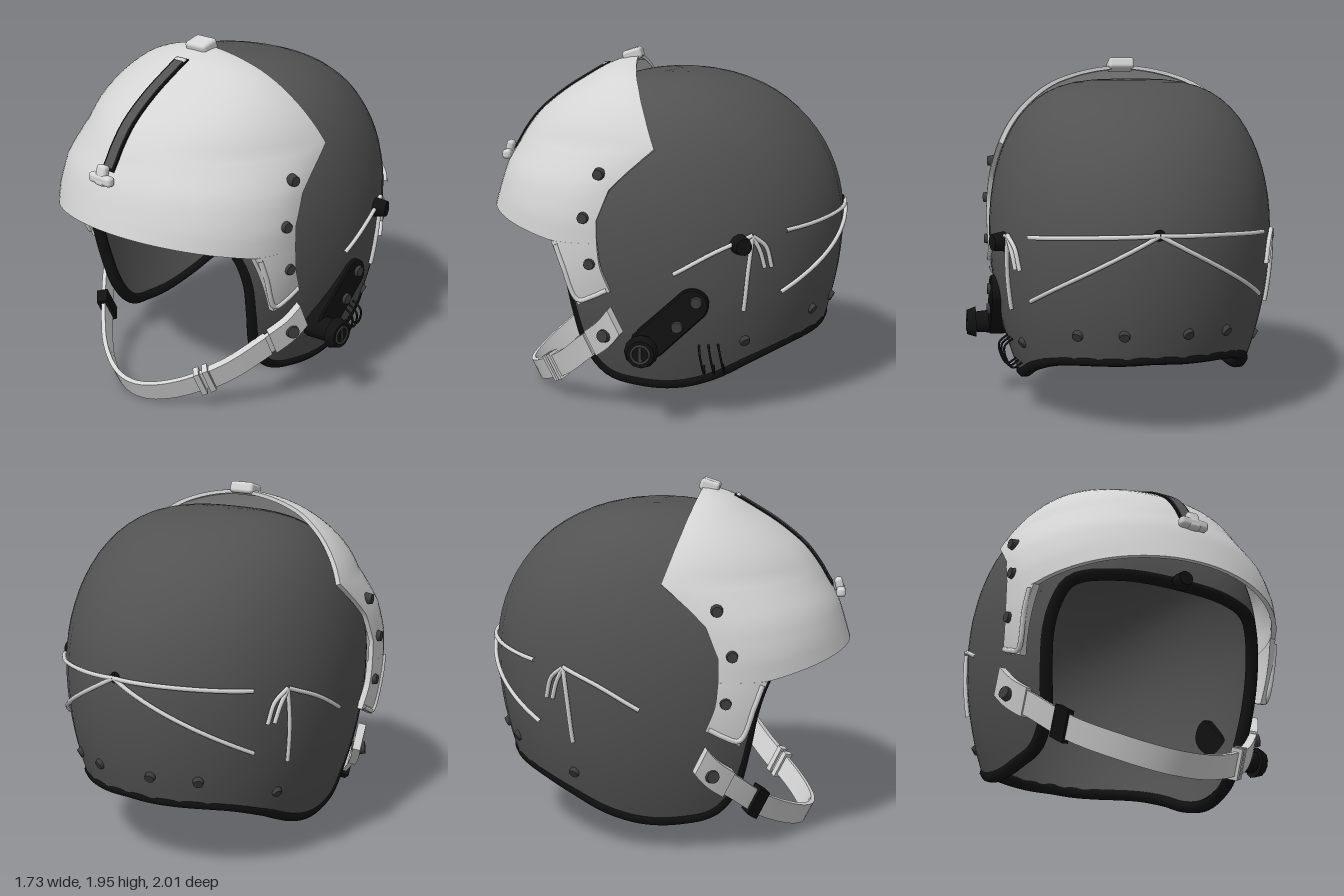
import * as THREE from 'three';
import { toCreasedNormals } from 'three/addons/utils/BufferGeometryUtils.js';
import { RoundedBoxGeometry } from 'three/addons/geometries/RoundedBoxGeometry.js';

const V = (x, y, z) => new THREE.Vector3(x, y, z);
const mat = (name, color) => new THREE.MeshStandardMaterial({ name, color });
const lerp = THREE.MathUtils.lerp;

// Closed thick sheet from an outer and an inner surface over u, v in 0..1
function sheet(outer, inner, nu, nv, crease = 0.7) {
  const pos = [], idx = [], n = (nu + 1) * (nv + 1);
  for (const f of [outer, inner])
    for (let j = 0; j <= nv; j++)
      for (let i = 0; i <= nu; i++) pos.push(...f(i / nu, j / nv).toArray());
  const id = (i, j) => j * (nu + 1) + i;
  for (let j = 0; j < nv; j++)
    for (let i = 0; i < nu; i++) {
      const a = id(i, j), b = id(i + 1, j), c = id(i + 1, j + 1), d = id(i, j + 1);
      idx.push(a, d, b, b, d, c, a + n, b + n, d + n, b + n, c + n, d + n);
    }
  const rim = [];
  for (let i = 0; i < nu; i++) rim.push(id(i, 0));
  for (let j = 0; j < nv; j++) rim.push(id(nu, j));
  for (let i = nu; i > 0; i--) rim.push(id(i, nv));
  for (let j = nv; j > 0; j--) rim.push(id(0, j));
  rim.forEach((a, k) => {
    const b = rim[(k + 1) % rim.length];
    idx.push(a, b, b + n, a, b + n, a + n);
  });
  const g = new THREE.BufferGeometry();
  g.setAttribute('position', new THREE.Float32BufferAttribute(pos, 3));
  g.setIndex(idx);
  return toCreasedNormals(g, crease);
}

// Shell surface at azimuth a (0 = front, 90 degrees = left) and height y
const ZC = -0.08, H = 0.845;
function scales(y) {
  if (y < 1) { const s = 1 - 0.3 * (1 - y) ** 2; return [s, s]; }
  const s = Math.sqrt(Math.max(0, 1 - ((y - 1) / H) ** 2));
  return [s ** 0.6, s ** 0.87];
}
function shellPoint(a, y, off = 0) {
  const [sw, sz] = scales(y), c = Math.cos(a), s = Math.sin(a);
  const x = 0.79 * sw * Math.sign(s) * Math.abs(s) ** (c > 0 ? 0.65 : 1);
  const p = V(x, y, ZC + (c > 0 ? 0.86 : 0.92) * sz * c);
  return off ? p.addScaledVector(shellNormal(p), off) : p;
}
const shellNormal = (p) => V(p.x / 0.62, (p.y - 1) / 0.8, (p.z - ZC) / 0.8).normalize();
function azimuth(z, y) {
  const d = z - ZC, c = d / ((d > 0 ? 0.86 : 0.92) * scales(y)[1]);
  return Math.acos(THREE.MathUtils.clamp(c, -1, 1));
}

// Lower edge of the shell from brow to nape, as z, y
const EDGE = [[0.9, 1.09], [0.74, 1.08], [0.61, 1.05], [0.55, 0.95], [0.5, 0.8], [0.46, 0.6], [0.4, 0.38],
  [0.3, 0.25], [0.1, 0.2], [-0.1, 0.2], [-0.3, 0.25], [-0.5, 0.34], [-0.7, 0.41], [-1.1, 0.45]];
const edgeCurve = new THREE.CatmullRomCurve3(EDGE.map(([z, y]) => V(azimuth(z, y), y, 0)));
function edgeAt(u) {
  const k = u * 2 - 1, e = edgeCurve.getPoint(Math.abs(k));
  return [Math.sign(k) * THREE.MathUtils.clamp(e.x, 0, Math.PI), e.y];
}
function shellOuter(u, v) {
  const [a, yE] = edgeAt(u);
  const end = yE > 1 ? Math.acos((yE - 1) / H) : Math.PI / 2 + (1 - yE) / H;
  const f = v * end;
  return shellPoint(a, f < Math.PI / 2 ? 1 + H * Math.cos(f) : 1 - H * (f - Math.PI / 2));
}
const shrink = (p, k) => V(p.x * k, p.y > 1 ? 1 + (p.y - 1) * k : p.y, ZC + (p.z - ZC) * k);

// Visor cover rows from top to brow: y, half width, front z, back z
const ROWS = [[1.915, 0.04, 0.2, 0.17], [1.9, 0.16, 0.26, 0.165], [1.87, 0.29, 0.34, 0.155],
  [1.82, 0.42, 0.43, 0.137], [1.72, 0.56, 0.59, 0.1], [1.6, 0.665, 0.735, 0.056], [1.49, 0.725, 0.82, 0.015],
  [1.43, 0.745, 0.855, 0.1], [1.32, 0.77, 0.92, 0.245], [1.19, 0.785, 0.965, 0.31], [1.09, 0.785, 0.995, 0.31]];
const rowCurve = new THREE.CatmullRomCurve3(ROWS.map((r) => V(r[1], r[0], r[2])));
function visorPoint(u, v, k = 1) {
  const t = v * (ROWS.length - 1), i = Math.min(Math.floor(t), ROWS.length - 2);
  const zb = lerp(ROWS[i][3], ROWS[i + 1][3], t - i);
  const r = rowCurve.getPoint(v), a = (u - 0.5) * Math.PI, c = Math.cos(a);
  const drop = 0.09 * Math.min(1, (1 - c) / 0.64) * Math.max(0, (1.49 - r.y) / 0.4);
  return V(r.x * Math.sin(a) * k, r.y - drop - (1 - k) * 0.7 * (r.y - 1.09), zb + (r.z - zb) * c * k);
}
// Side tabs of the visor cover
const tabBack = new THREE.CatmullRomCurve3([V(0, 1, 0.31), V(0, 0.87, 0.295), V(0, 0.735, 0.245)]);
const tabFront = new THREE.CatmullRomCurve3([V(0, 1, 0.56), V(0, 0.87, 0.505), V(0, 0.655, 0.42)]);
function tabPoint(side, u, v, inset) {
  const p = tabFront.getPoint(v).lerp(tabBack.getPoint(v), side > 0 ? u : 1 - u);
  const w = 0.785 * Math.sqrt(1 - (Math.max(0, p.z - 0.31) / 0.69) ** 2);
  p.x = side * (w * (1 - 0.4 * (1 - p.y) ** 2) - inset);
  return p;
}

export function createModel() {
  const root = new THREE.Group(), helmet = new THREE.Group();
  helmet.name = 'helmet';
  helmet.position.x = -0.06;
  root.add(helmet);
  const dark = mat('shell grey', 0x525252), light = mat('light grey', 0xd4d4d4);
  const black = mat('black', 0x111111), metal = mat('dark metal', 0x3c3c3c);
  const add = (name, geo, m, p) => {
    const mesh = new THREE.Mesh(geo, m);
    mesh.name = name;
    if (p) mesh.position.copy(p);
    helmet.add(mesh);
    return mesh;
  };
  const stud = (name, m, p, n, r, h) => {
    const s = add(name, new THREE.CylinderGeometry(r * 0.8, r, h, 12), m, p);
    s.quaternion.setFromUnitVectors(V(0, 1, 0), n);
    return s;
  };
  const tube = (name, pts, r, m, closed = false) => add(name, new THREE.TubeGeometry(
    new THREE.CatmullRomCurve3(pts, closed), pts.length * 5, r, 7, closed), m);

  // Shell and edge trim
  add('shell', sheet(shellOuter, (u, v) => shrink(shellOuter(u, v), 0.93), 96, 24), dark);
  const rim = [];
  for (let i = 0; i < 96; i++) rim.push(shrink(shellOuter(i / 96, 1), 0.965));
  add('edgeTrim', new THREE.TubeGeometry(new THREE.CatmullRomCurve3(rim, true), 144, 0.035, 8, true), black);

  // Visor cover with side tabs and bolts
  add('visorCover', sheet((u, v) => visorPoint(u, v), (u, v) => visorPoint(u, v, 0.965), 40, 30), light);
  for (const s of [1, -1]) {
    add('visorTab', sheet((u, v) => tabPoint(s, u, v, 0), (u, v) => tabPoint(s, u, v, 0.035), 8, 10), light);
    tube('tabLip', [[0.08, 0.06], [0.05, 0.5], [0.06, 0.94], [0.5, 0.96], [0.94, 0.94]].map(([u, v]) =>
      tabPoint(s, s > 0 ? u : 1 - u, v, 0)), 0.014, light);
    for (const [x, y, z] of [[0.755, 1.36, 0.3], [0.78, 1.135, 0.38], [0.778, 0.89, 0.35]])
      stud('visorBolt', metal, V(s * x, y, z), V(s, 0, 0.15).normalize(), 0.034, 0.04);
  }

  // Centre track with its end fittings
  const track = (name, w, off, v0, v1, m) => {
    const at = (d) => (u, v) => visorPoint(0.5, lerp(v0, v1, v)).add(V((u - 0.5) * w, d * 0.6, d * 0.8));
    add(name, sheet(at(off), at(-0.01), 1, 24), m);
  };
  track('trackFrame', 0.088, 0.008, 0.2, 0.75, black);
  track('track', 0.064, 0.013, 0.21, 0.74, dark);
  add('topLug', new RoundedBoxGeometry(0.15, 0.065, 0.11, 3, 0.02), light, V(0, 1.918, 0.205)).rotation.x = 0.3;
  add('trackClip', new RoundedBoxGeometry(0.08, 0.025, 0.03, 2, 0.01), light, V(0, 1.863, 0.36));
  add('sliderBar', new RoundedBoxGeometry(0.165, 0.055, 0.05, 3, 0.02), light, V(0, 1.345, 0.935));
  add('sliderStem', new RoundedBoxGeometry(0.07, 0.11, 0.045, 3, 0.018), light, V(0, 1.365, 0.93)).rotation.x = -0.25;
  stud('browButton', black, V(0, 1.07, 0.82), V(0, 0, 1), 0.05, 0.06);

  // Chin strap: a flat band swept from side to side
  const half = [[0.765, 0.58, 0.22], [0.725, 0.5, 0.28], [0.64, 0.4, 0.39], [0.5, 0.26, 0.53],
    [0.3, 0.14, 0.69], [0.12, 0.08, 0.77]];
  const strap = new THREE.CatmullRomCurve3([...half.map((p) => V(...p)), V(0, 0.068, 0.787),
    ...half.map(([x, y, z]) => V(-x, y, z)).reverse()]);
  const across = V(0, 0.9, 0.43);
  const band = (name, t0, t1, w, th, m) => {
    const face = (d) => (u, v) => {
      const t = lerp(t0, t1, u), n = across.clone().cross(strap.getTangentAt(t)).normalize();
      return strap.getPointAt(t).addScaledVector(across, (v - 0.5) * w).addScaledVector(n, d);
    };
    add(name, sheet(face(th / 2), face(-th / 2), Math.ceil((t1 - t0) * 50) + 1, 2), m);
  };
  band('chinStrap', 0, 1, 0.125, 0.025, light);
  band('strapFold', 0.11, 0.27, 0.135, 0.042, light);
  for (const t of [0.272, 0.295]) band('strapKeeper', t, t + 0.014, 0.165, 0.06, light);
  band('strapBuckle', 0.775, 0.81, 0.165, 0.065, black);
  for (const s of [1, -1]) {
    band('strapEnd', s > 0 ? 0 : 0.9, s > 0 ? 0.1 : 1, 0.15, 0.045, light);
    stud('strapBolt', metal, V(s * 0.735, 0.49, 0.275), V(s * 0.85, 0.1, 0.4).normalize(), 0.042, 0.075);
  }

  // Cords on the sides and round the back, with their knobs
  const cord = (name, s, pts) => {
    const path = new THREE.CatmullRomCurve3(pts.map(([a, y]) => V(a, y, 0)));
    tube(name, path.getPoints(8).map((p) => shellPoint(s * p.x, p.y, 0.012)), 0.012, light);
  };
  const at = (z, y) => [azimuth(z, y), y];
  for (const s of [1, -1]) {
    cord('sideCord', s, [at(-0.09, 0.85), at(-0.3, 0.965), at(-0.49, 1.045)]);
    cord('sideCord', s, [at(-0.45, 0.64), at(-0.47, 0.85), at(-0.49, 1.045)]);
    cord('sideCord', s, [at(-0.59, 0.87), at(-0.56, 0.98), at(-0.49, 1.045)]);
    cord('sideCord', s, [at(-0.555, 0.87), at(-0.53, 0.96), at(-0.49, 1.04)]);
    cord('backCord', s, [[Math.PI, 1.1], [2.7, 1.085], at(-0.66, 1.055)]);
    cord('backCord', s, [[Math.PI, 1.1], [2.72, 0.92], at(-0.64, 0.72)]);
    for (const [z, y] of [[-0.46, 0.45], [-0.82, 0.565], [-0.93, 0.58]]) {
      const p = shellPoint(s * azimuth(z, y), y);
      stud('rivet', metal, p, shellNormal(p), 0.032, 0.03);
    }
  }
  stud('backKnob', black, V(0, 1.1, -0.985), V(0, 0, -1), 0.035, 0.03);
  const knobAt = shellPoint(azimuth(-0.43, 1), 1, 0.03);
  stud('sideKnob', black, knobAt, shellNormal(knobAt), 0.055, 0.08);

  // Microphone arm on the left: capsule plate, bolts and dial
  const plate = new THREE.Shape();
  plate.absarc(0, 0, 0.08, Math.PI / 2, Math.PI * 1.5);
  plate.absarc(0.3, 0, 0.08, -Math.PI / 2, Math.PI / 2);
  const arm = add('armPlate', new THREE.ExtrudeGeometry(plate,
    { depth: 0.1, bevelSize: 0.008, bevelThickness: 0.008, bevelSegments: 1 }), black, V(0.69, 0.475, 0.03));
  arm.rotation.set(0, Math.PI / 2, Math.atan2(0.21, 0.22), 'YXZ');
  for (const [z, y] of [[-0.21, 0.7], [-0.11, 0.565]]) stud('armBolt', metal, V(0.8, y, z), V(1, 0, 0), 0.036, 0.03);
  stud('dialBase', black, V(0.79, 0.45, 0.07), V(1, 0, 0), 0.075, 0.16);
  stud('dial', black, V(0.895, 0.45, 0.07), V(1, 0, 0), 0.09, 0.05);
  add('dialRing', new THREE.TorusGeometry(0.047, 0.007, 6, 24), metal, V(0.919, 0.45, 0.07)).rotation.y = Math.PI / 2;
  add('dialSlot', new THREE.BoxGeometry(0.008, 0.08, 0.014), metal, V(0.921, 0.45, 0.07));

  // Wire loops below the arm
  for (let i = 0; i < 3; i++) {
    const z = -0.22 - i * 0.05, foot = (y, off, dz) => shellPoint(azimuth(z - dz, y), y, off);
    tube('wireLoop', [foot(0.44, 0, 0), foot(0.43, 0.06, 0), foot(0.37, 0.075, 0.01),
      foot(0.32, 0.06, 0.02), foot(0.31, 0, 0.025)], 0.006, black);
  }
  return root;
}
